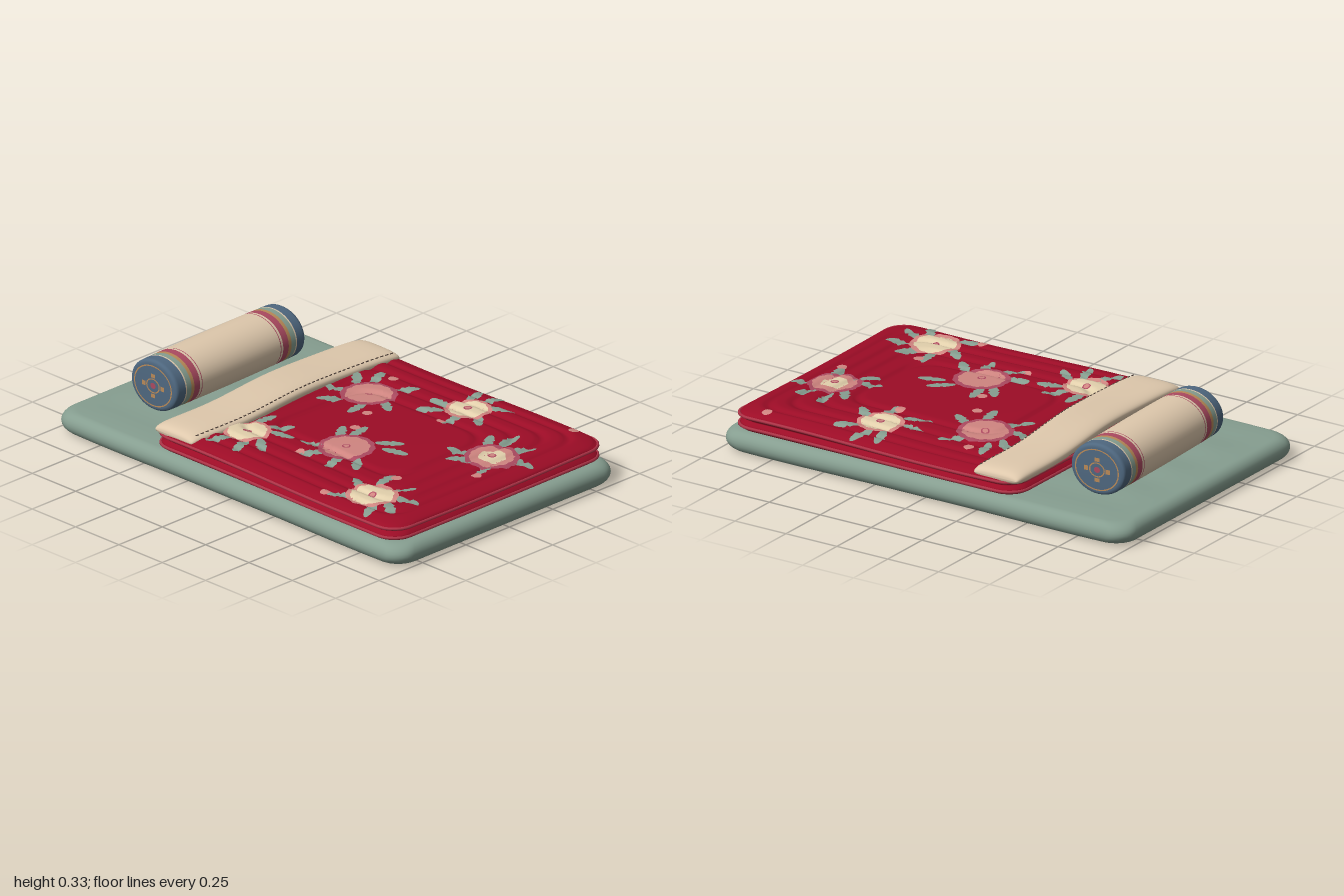
import * as THREE from 'three';

const mat = (name, color, side = THREE.FrontSide) => {
  const m = new THREE.MeshStandardMaterial({ color, side });
  m.name = name;
  return m;
};
const sage = mat('sage green', 0x869e90);
const crimson = mat('crimson', 0x9c0c26);
const pipingRed = mat('piping red', 0xb03448);
const cream = mat('cream', 0xdec8ac);
const blue = mat('slate blue', 0x4f6880);
const ochre = mat('ochre', 0xb98a58);
const rose = mat('rose', 0xab4a60);
const pink = mat('pink', 0xcf8580);
const pale = mat('pale petal', 0xe2d0ac);
const charcoal = mat('charcoal thread', 0x5a4a42);

function add(parent, name, geometry, material) {
  const mesh = new THREE.Mesh(geometry, material);
  mesh.name = name;
  parent.add(mesh);
  return mesh;
}

// Rounded rectangle in the xz plane, always with the same number of points
function outline(a, b, r) {
  const pts = [], arc = 8, side = 26;
  r = Math.max(0, Math.min(r, a, b));
  const corners = [[1, 1], [-1, 1], [-1, -1], [1, -1]];
  const at = (c, t) => {
    const q = (c + t) * Math.PI / 2, [sx, sz] = corners[c % 4];
    return [sx * (a - r) + r * Math.cos(q), sz * (b - r) + r * Math.sin(q)];
  };
  for (let c = 0; c < 4; c++) {
    for (let i = 0; i <= arc; i++) pts.push(at(c, i / arc));
    const p = at(c, 1), n = at((c + 1) % 4, 0);
    for (let i = 1; i < side; i++) {
      const t = i / side;
      pts.push([p[0] + (n[0] - p[0]) * t, p[1] + (n[1] - p[1]) * t]);
    }
  }
  return pts;
}

// Skin a closed surface over loops of [x, y, z] points, listed bottom to top
function skin(loops) {
  const n = loops[0].length, index = [];
  for (let i = 0; i < loops.length - 1; i++) for (let j = 0; j < n; j++) {
    const a = i * n + j, b = i * n + (j + 1) % n, c = a + n, d = b + n;
    index.push(a, c, b, b, c, d);
  }
  const g = new THREE.BufferGeometry();
  g.setAttribute('position', new THREE.Float32BufferAttribute(loops.flat(2), 3));
  g.setIndex(index);
  g.computeVertexNormals();
  return g;
}

// Mattress: soft slab with bulging edges
function mattress() {
  const loops = [], H = 0.095, r = H / 2;
  const ring = (inset, y, top) => loops.push(outline(0.638 - inset, 1 - inset, 0.09).map(([x, z]) =>
    [x * (1 - 0.012 * Math.cos(z * 5) * Math.abs(z)), y + top * 0.003 * Math.cos(x * 22), z]));
  ring(0.638, 0, 0);
  for (let i = 0; i <= 12; i++) {
    const q = -Math.PI / 2 + i / 12 * Math.PI;
    ring(r * (1 - Math.cos(q)), r + r * Math.sin(q), 0);
  }
  for (let i = 1; i <= 16; i++) ring(r + (0.638 - r) * i / 16, H + 0.004 * Math.min(1, i / 4), Math.min(1, i / 4));
  return skin(loops);
}

// Quilt: surface height with concentric stitched channels
const QA = 0.612, QB = 0.7, QZ = 0.25;
const sway = (x, z) => 0.006 * Math.sin(z * 4 + 0.5 - x * 3);
function quiltTop(x, z) {
  const p = QA - Math.abs(x), q = QB - Math.abs(z - QZ), k = 0.13;
  const h = Math.max(k - Math.abs(p - q), 0) / k;
  const d = Math.max(0, Math.min(p, q) - h * h * k / 4);
  let y = 0.158 + 0.026 * Math.sqrt(Math.min(1, d / 0.07));
  for (const s of [0.08, 0.155, 0.24, 0.34]) y -= 0.011 * Math.exp(-(((d - s) / 0.014) ** 2));
  return y + sway(x, z);
}
function quilt() {
  const loops = [];
  const ring = (inset, yOf) => loops.push(outline(QA - inset, QB - inset, 0.09).map(([x, z]) =>
    [x, yOf(x, z + QZ), z + QZ]));
  const side = [[0.6, 0.088], [0.06, 0.088], [0.03, 0.091], [0.008, 0.099], [0, 0.11], [0.004, 0.122],
    [0.02, 0.132], [0.022, 0.136], [0.006, 0.143], [0, 0.15]];
  for (const [inset, y] of side) ring(inset, (x, z) => y + sway(x, z) * (y - 0.088) / 0.07);
  for (let i = 0; i <= 64; i++) ring(QA * (i / 64) ** 1.15, quiltTop);
  return skin(loops);
}
function piping(y) {
  const pts = outline(QA, QB, 0.09).map(([x, z]) =>
    new THREE.Vector3(x, y + sway(x, z + QZ) * (y - 0.088) / 0.07, z + QZ));
  return new THREE.TubeGeometry(new THREE.CatmullRomCurve3(pts, true), 200, 0.007, 6, true);
}

// Printed patch that follows the quilt, with its outline given by radius(angle)
function patch(cx, cz, turn, radius, lift, segs = 48, rings = 7) {
  const pos = [cx, quiltTop(cx, cz) + lift, cz], index = [];
  for (let k = 1; k <= rings; k++) for (let j = 0; j < segs; j++) {
    const t = j / segs * Math.PI * 2, r = radius(t) * k / rings;
    const x = cx + r * Math.cos(t + turn), z = cz + r * Math.sin(t + turn);
    pos.push(x, quiltTop(x, z) + lift, z);
    const a = 1 + (k - 1) * segs + j, b = 1 + (k - 1) * segs + (j + 1) % segs;
    if (k === 1) index.push(0, b, a);
    else index.push(a - segs, b - segs, a, b - segs, b, a);
  }
  const g = new THREE.BufferGeometry();
  g.setAttribute('position', new THREE.Float32BufferAttribute(pos, 3));
  g.setIndex(index);
  g.computeVertexNormals();
  return g;
}
const scallop = (r, n) => t => r * (0.95 + 0.06 * Math.abs(Math.cos(n * t / 2)));
const leafShape = t => 0.056 * (0.36 + 0.64 * Math.abs(Math.cos(t)) ** 4 + 0.09 * Math.cos(6 * t));

// Each flower: x, z, radius, petal colours from the outside in, then leaf positions
const FLOWERS = [
  [-0.38, -0.13, 0.1, [pink, pale, pale], [[-0.25, -0.16], [-0.26, -0.06], [-0.31, 0], [-0.44, 0.01], [-0.5, -0.05], [-0.51, -0.16]]],
  [0.24, -0.05, 0.12, [rose, pink, pink], [[0.1, -0.13], [0.19, -0.19], [0.32, -0.2], [0.39, -0.15], [0.38, 0.02], [0.2, 0.09], [0.1, 0.02]]],
  [-0.21, 0.27, 0.12, [rose, pink, pink], [[-0.34, 0.21], [-0.28, 0.15], [-0.12, 0.15], [-0.07, 0.2], [-0.06, 0.37], [-0.1, 0.44], [-0.29, 0.41], [-0.34, 0.33]]],
  [0.41, 0.35, 0.1, [pink, pale, pale], [[0.3, 0.24], [0.38, 0.22], [0.53, 0.27], [0.55, 0.35], [0.5, 0.45], [0.36, 0.46], [0.29, 0.38]]],
  [-0.45, 0.66, 0.11, [pink, pale, pale], [[-0.54, 0.56], [-0.41, 0.54], [-0.31, 0.6], [-0.33, 0.71], [-0.39, 0.8], [-0.49, 0.8], [-0.55, 0.75]]],
  [0.15, 0.75, 0.115, [rose, pink, pale], [[0.04, 0.67], [0.09, 0.62], [0.24, 0.64], [0.31, 0.69], [0.28, 0.79], [0.2, 0.87], [0.04, 0.81]]],
];
const BUDS = [[0.09, 0.09], [-0.05, 0.16], [-0.37, 0.16], [0.25, 0.36], [-0.56, 0.5], [-0.27, 0.62], [-0.02, 0.83], [0.42, -0.09], [0.57, 0.8]];

function printedFlowers() {
  const g = new THREE.Group();
  g.name = 'printedFlowers';
  for (const [x, z, r, [outer, middle, inner], leaves] of FLOWERS) {
    for (const [lx, lz] of leaves) add(g, 'leaf', patch(lx, lz, Math.atan2(lz - z, lx - x) + 0.3, leafShape, 0.003, 36, 4), sage);
    add(g, 'outerPetals', patch(x, z, 0, scallop(r, 14), 0.004), outer);
    add(g, 'middlePetals', patch(x, z, 0.2, scallop(r * 0.82, 12), 0.0055), middle);
    add(g, 'innerPetals', patch(x, z, 0.4, scallop(r * 0.5, 10), 0.007), inner);
    add(g, 'flowerRing', patch(x, z, 0, () => 0.018, 0.008, 20, 2), rose);
    add(g, 'flowerHeart', patch(x, z, 0, () => 0.012, 0.009, 20, 2), pink);
  }
  for (const [x, z] of BUDS) add(g, 'bud', patch(x, z, 0, scallop(0.022, 5), 0.004, 24, 3), pink);
  return g;
}

// Turned-back sheet: flattened roll across the quilt with a wavy path
const bandZ = x => -0.338 - 0.02 * Math.sin(x * 4.5);
const bandY = x => 0.187 + 0.005 * Math.cos(x * 9) - 0.018 * Math.abs(x / 0.6) ** 4 - 0.004 * x;
const superPow = (v, p) => Math.sign(v) * Math.abs(v) ** p;
function sheetFold() {
  const loops = [], N = 60;
  for (let i = 0; i <= N; i++) {
    const u = -Math.cos(i / N * Math.PI), x = 0.608 * u;
    const s = Math.max(0, 1 - Math.abs(u) ** 24) ** 0.4, loop = [];
    for (let j = 0; j < 40; j++) {
      const t = j / 40 * Math.PI * 2;
      loop.push([x, bandY(x) + 0.031 * s * superPow(Math.sin(t), 0.8),
        bandZ(x) + 0.116 * (0.85 + 0.15 * s) * superPow(Math.cos(t), 0.6)]);
    }
    loops.push(loop);
  }
  return skin(loops);
}
function stitches(parent) {
  for (let i = 0; i < 44; i++) {
    const x = -0.57 + i * 1.14 / 43;
    const m = add(parent, 'stitch', new THREE.BoxGeometry(0.015, 0.003, 0.004), charcoal);
    m.position.set(x, bandY(x) + 0.023, bandZ(x) + 0.098);
    m.rotation.y = Math.atan(0.09 * Math.cos(x * 4.5));
  }
}

// Bolster: lathe sections along x, one per woven stripe
function bolster() {
  const g = new THREE.Group(), L = 0.385;
  g.name = 'bolster';
  const radius = x => {
    const e = Math.max(0, (Math.abs(x) - (L - 0.018)) / 0.018);
    return 0.112 + 0.018 * Math.sqrt(Math.max(0, 1 - e * e)) + 0.004 * (1 - (x / L) ** 2);
  };
  const section = (name, x0, x1, material, cap) => {
    const pts = [];
    if (cap < 0) pts.push(new THREE.Vector2(0, x0));
    for (let i = 0; i <= 12; i++) {
      const x = x0 + (x1 - x0) * i / 12;
      pts.push(new THREE.Vector2(radius(x), x));
    }
    if (cap > 0) pts.push(new THREE.Vector2(0, x1));
    add(g, name, new THREE.LatheGeometry(pts, 48).rotateZ(-Math.PI / 2), material);
  };
  const stripes = [['endBand', 0, 0.055, blue], ['paleStripe', 0.055, 0.062, cream], ['greenStripe', 0.062, 0.088, sage],
    ['ochreStripe', 0.088, 0.105, ochre], ['roseStripe', 0.105, 0.138, rose], ['gapStripe', 0.138, 0.149, cream],
    ['thinStripe', 0.149, 0.153, rose]];
  section('bolsterBody', -L + 0.153, L - 0.153, cream, 0);
  for (const s of [-1, 1]) {
    for (const [name, from, to, m] of stripes) {
      const p = s * (L - from), q = s * (L - to);
      section(name, Math.min(p, q), Math.max(p, q), m, from === 0 ? s : 0);
    }
    // Round emblem-free rosette on each end
    const plate = (name, geo, m, lift) => add(g, name, geo.rotateY(s * Math.PI / 2).translate(s * (L + lift), 0, 0), m);
    plate('endRing', new THREE.RingGeometry(0.1, 0.106, 48), ochre, 0.002);
    plate('rosetteRing', new THREE.RingGeometry(0.032, 0.038, 32), ochre, 0.002);
    plate('rosetteHeart', new THREE.CircleGeometry(0.015, 20), rose, 0.002);
    for (let k = 0; k < 4; k++)
      plate('rosettePetal', new THREE.PlaneGeometry(0.024, 0.02).translate(0, 0.052, 0).rotateZ(k * Math.PI / 2), ochre, 0.002);
  }
  g.scale.y = 0.85;
  g.position.set(0.015, 0.212, -0.695);
  g.rotation.y = 0.03;
  return g;
}

export function createModel() {
  const model = new THREE.Group();
  model.name = 'bedding';
  add(model, 'mattress', mattress(), sage);
  add(model, 'quilt', quilt(), crimson);
  add(model, 'lowerPiping', piping(0.112), pipingRed);
  add(model, 'upperPiping', piping(0.154), pipingRed);
  model.add(printedFlowers());
  add(model, 'sheetFold', sheetFold(), cream);
  stitches(model);
  model.add(bolster());
  return model;
}
